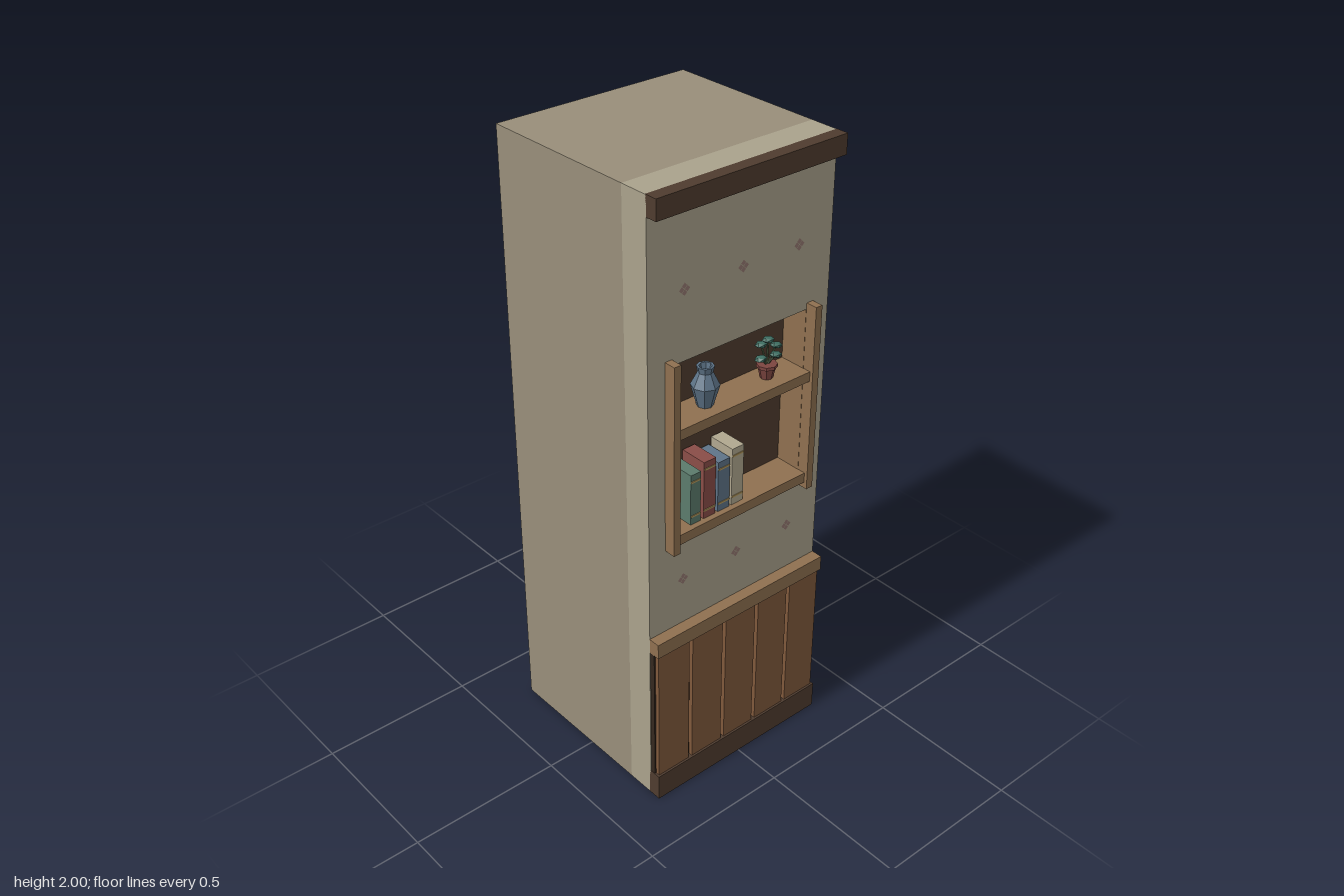
import * as THREE from 'three';

const mat = (color) => new THREE.MeshStandardMaterial({ color, flatShading: true });
const M = {
  body: mat(0x988e7a), plaster: mat(0xaaa28c), dark: mat(0x4f3c2f), gap: mat(0x35281f),
  plank: mat(0x80593c), trim: mat(0x8f7050), motif: mat(0x947870), vase: mat(0x5d7387),
  pot: mat(0x7d4540), leaf: mat(0x3f6f63), stem: mat(0x4a5a40), gold: mat(0xb59a5e),
  green: mat(0x5c7b6c), red: mat(0x8a4d47), blue: mat(0x5f7488), cream: mat(0xb0a78f),
};

export function createModel() {
  const root = new THREE.Group();

  function add(name, geometry, material, x = 0, y = 0, z = 0, parent = root) {
    const mesh = new THREE.Mesh(geometry, material);
    mesh.name = name;
    mesh.position.set(x, y, z);
    parent.add(mesh);
    return mesh;
  }
  // Box given by its limits on each axis
  function block(name, material, [x0, x1], [y0, y1], [z0, z1], parent = root) {
    return add(name, new THREE.BoxGeometry(x1 - x0, y1 - y0, z1 - z0), material,
      (x0 + x1) / 2, (y0 + y1) / 2, (z0 + z1) / 2, parent);
  }
  function group(name) {
    const g = new THREE.Group();
    g.name = name;
    root.add(g);
    return g;
  }

  const W = 0.333;

  // Solid pillar and the plastered front with its niche opening
  block('pillarBody', M.body, [-W, W], [0, 2], [-W, 0.2]);
  const face = new THREE.Shape();
  face.moveTo(-W, 0).lineTo(W, 0).lineTo(W, 2).lineTo(-W, 2).closePath();
  const hole = new THREE.Path();
  hole.moveTo(-0.26, 0.91).lineTo(-0.26, 1.49).lineTo(0.26, 1.49).lineTo(0.26, 0.91).closePath();
  face.holes.push(hole);
  add('plasterFront', new THREE.ExtrudeGeometry(face, { depth: 0.095, bevelEnabled: false }),
    M.plaster, 0, 0, 0.2);

  // Horizontal trim
  block('baseboard', M.dark, [-W, W], [0, 0.09], [0.29, W]);
  block('chairRail', M.trim, [-W, W], [0.56, 0.61], [0.29, W]);
  block('crownTrim', M.dark, [-W, W], [1.94, 2.001], [0.292, W]);

  // Wainscot planks over a dark backing
  const wainscot = group('wainscot');
  block('plankBacking', M.gap, [-0.331, 0.331], [0.09, 0.56], [0.29, 0.312], wainscot);
  for (let i = 0; i < 5; i++) {
    const x = (i - 2) * 0.133;
    block('plank', M.plank, [x - 0.06, x + 0.06], [0.09, 0.56], [0.31, 0.326], wainscot);
  }

  // Niche: dark back, side boards and two shelves
  const niche = group('niche');
  block('nicheBack', M.dark, [-0.26, 0.26], [0.91, 1.49], [0.2, 0.208], niche);
  for (const s of [-1, 1]) {
    add('sideLining', new THREE.BoxGeometry(0.012, 0.58, 0.09), M.trim, s * 0.254, 1.2, 0.25, niche);
    add('sidePost', new THREE.BoxGeometry(0.024, 0.61, 0.04), M.trim, s * 0.261, 1.205, 0.313, niche);
  }
  block('lowerShelf', M.trim, [-0.25, 0.25], [0.92, 0.953], [0.205, 0.322], niche);
  block('upperShelf', M.trim, [-0.25, 0.25], [1.268, 1.3], [0.205, 0.322], niche);

  // Four-petal motifs on the plaster
  const motifs = group('wallMotifs');
  const petal = new THREE.CircleGeometry(0.009, 4);
  for (const y of [0.77, 1.703]) {
    for (const x of [-0.207, 0, 0.207]) {
      for (const [dx, dy] of [[1, 0], [-1, 0], [0, 1], [0, -1]]) {
        add('petal', petal, M.motif, x + dx * 0.01, y + dy * 0.01, 0.2965, motifs);
      }
    }
  }

  // Books with gilt spine bands
  const books = group('books');
  const bookList = [
    [-0.186, 0.038, 0.167, M.green], [-0.137, 0.045, 0.19, M.red],
    [-0.083, 0.045, 0.167, M.blue], [-0.03, 0.045, 0.19, M.cream],
  ];
  for (const [x, w, h, m] of bookList) {
    block('book', m, [x, x + w], [0.953, 0.953 + h], [0.212, 0.303], books);
    for (const y of [0.98, 0.953 + h - 0.024]) {
      block('spineBand', M.gold, [x + 0.001, x + w - 0.001], [y - 0.003, y + 0.003], [0.3, 0.305], books);
    }
  }

  // Faceted vase
  const vaseProfile = [[0, 0], [0.024, 0], [0.042, 0.065], [0.022, 0.105], [0.026, 0.124],
    [0.019, 0.124], [0.016, 0.105], [0, 0.1]].map(([r, y]) => new THREE.Vector2(r, y));
  add('vase', new THREE.LatheGeometry(vaseProfile, 8), M.vase, -0.1, 1.3, 0.262);

  // Potted plant
  const plant = group('pottedPlant');
  plant.position.set(0.134, 1.3, 0.262);
  add('pot', new THREE.CylinderGeometry(0.027, 0.019, 0.036, 8), M.pot, 0, 0.018, 0, plant);
  add('potRim', new THREE.CylinderGeometry(0.031, 0.031, 0.01, 8), M.pot, 0, 0.04, 0, plant);
  const leafGeometry = new THREE.IcosahedronGeometry(1, 0);
  const leaves = [[-0.03, 0.072, 0.005], [0.002, 0.12, 0], [0.026, 0.098, 0.008],
    [-0.008, 0.1, -0.018], [0.016, 0.075, 0.018]];
  for (const [x, y, z] of leaves) {
    const tip = new THREE.Vector3(x, y, z);
    const path = new THREE.LineCurve3(new THREE.Vector3(0, 0.04, 0), tip);
    add('stem', new THREE.TubeGeometry(path, 1, 0.003, 5), M.stem, 0, 0, 0, plant);
    const leaf = add('leaf', leafGeometry, M.leaf, x, y, z, plant);
    leaf.scale.set(0.02, 0.009, 0.017);
    leaf.rotation.z = -x * 6;
  }

  return root;
}
